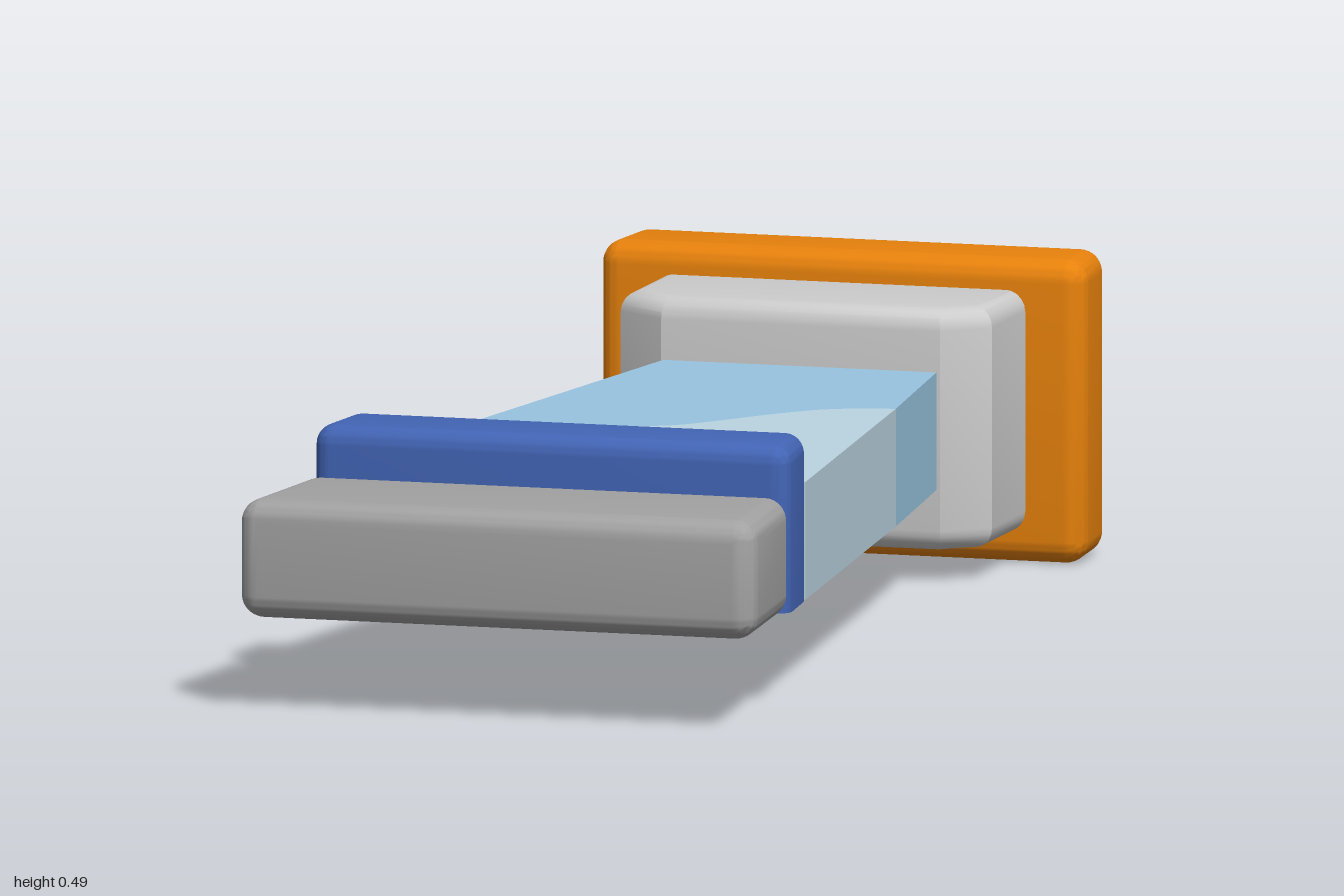
import * as THREE from 'three';
import { toCreasedNormals } from 'three/addons/utils/BufferGeometryUtils.js';
import { RoundedBoxGeometry } from 'three/addons/geometries/RoundedBoxGeometry.js';

const material = (color) => new THREE.MeshStandardMaterial({ color, roughness: 0.7 });

function addMesh(group, name, geometry, color) {
  const mesh = new THREE.Mesh(toCreasedNormals(geometry, 0.55), material(color));
  mesh.name = name;
  group.add(mesh);
}

// Rounded block whose left and right ends change from the back (z0) to the front (z1).
// flatBottom squares off the lower edges.
function taperedBlock({ back, front, y0, y1, z0, z1, radius, flatBottom = false }) {
  const bottom = flatBottom ? y0 - 2 * radius : y0;
  const width = (back[1] - back[0] + front[1] - front[0]) / 2;
  const geometry = new RoundedBoxGeometry(width, y1 - bottom, z1 - z0, 5, radius);
  geometry.translate(0, (y1 + bottom) / 2, (z0 + z1) / 2);
  const p = geometry.attributes.position;
  for (let i = 0; i < p.count; i++) {
    const t = (p.getZ(i) - z0) / (z1 - z0);
    const left = THREE.MathUtils.lerp(back[0], front[0], t);
    const right = THREE.MathUtils.lerp(back[1], front[1], t);
    p.setX(i, (left + right) / 2 + (p.getX(i) * (right - left)) / width);
    p.setY(i, Math.max(p.getY(i), y0));
  }
  return geometry;
}

// Upright extrusion of a plan given as [x, z] corners, with optional rounded rims
function planExtrusion(points, y0, y1, bevel = 0) {
  const shape = new THREE.Shape(points.map(([x, z]) => new THREE.Vector2(x, -z)));
  return new THREE.ExtrudeGeometry(shape, {
    depth: y1 - y0 - 2 * bevel,
    bevelEnabled: bevel > 0,
    bevelThickness: bevel,
    bevelSize: bevel,
    bevelOffset: -bevel,
    bevelSegments: 5,
  }).rotateX(-Math.PI / 2).translate(0, y0 + bevel, 0);
}

export function createModel() {
  const model = new THREE.Group();
  model.name = 'taperedTube';

  // Cap at the back
  addMesh(model, 'endCap', taperedBlock({
    back: [-0.375, 0.4], front: [-0.39, 0.415],
    y0: 0, y1: 0.485, z0: -1, z1: -0.83, radius: 0.036,
  }), 0xe8820c);

  // Neck collar with chamfered front corners
  addMesh(model, 'neckCollar', planExtrusion([
    [-0.295, -0.86], [-0.295, -0.65], [-0.21, -0.59],
    [0.25, -0.59], [0.318, -0.65], [0.318, -0.86],
  ], 0.05, 0.437, 0.034), 0xcccccc);

  // Flaring body in two colours, divided by a wavy line from left to right
  const wave = new THREE.SplineCurve([
    [-0.337, 0.32], [-0.28, 0.22], [-0.2, 0.14], [-0.1, 0.1], [0, 0.06],
    [0.06, -0.01], [0.13, -0.11], [0.2, -0.18], [0.293, -0.21],
  ].map(([x, z]) => new THREE.Vector2(x, z))).getPoints(32).map((v) => [v.x, v.y]);
  addMesh(model, 'bodyRear', planExtrusion(
    [[0.243, -0.6], [-0.205, -0.6], ...wave], 0.15, 0.338), 0x98c4e0);
  addMesh(model, 'bodyFront', planExtrusion(
    [[0.378, 0.56], [-0.372, 0.56], ...wave], 0.15, 0.338), 0xbbd5e2);

  // Raised band, flush with the body underneath
  addMesh(model, 'band', taperedBlock({
    back: [-0.375, 0.378], front: [-0.392, 0.398],
    y0: 0.15, y1: 0.418, z0: 0.55, z1: 0.715, radius: 0.032, flatBottom: true,
  }), 0x4264b4);

  // Crimped foot at the front
  addMesh(model, 'foot', taperedBlock({
    back: [-0.4, 0.397], front: [-0.43, 0.427],
    y0: 0.148, y1: 0.338, z0: 0.705, z1: 1, radius: 0.036,
  }), 0xa2a2a2);

  return model;
}
